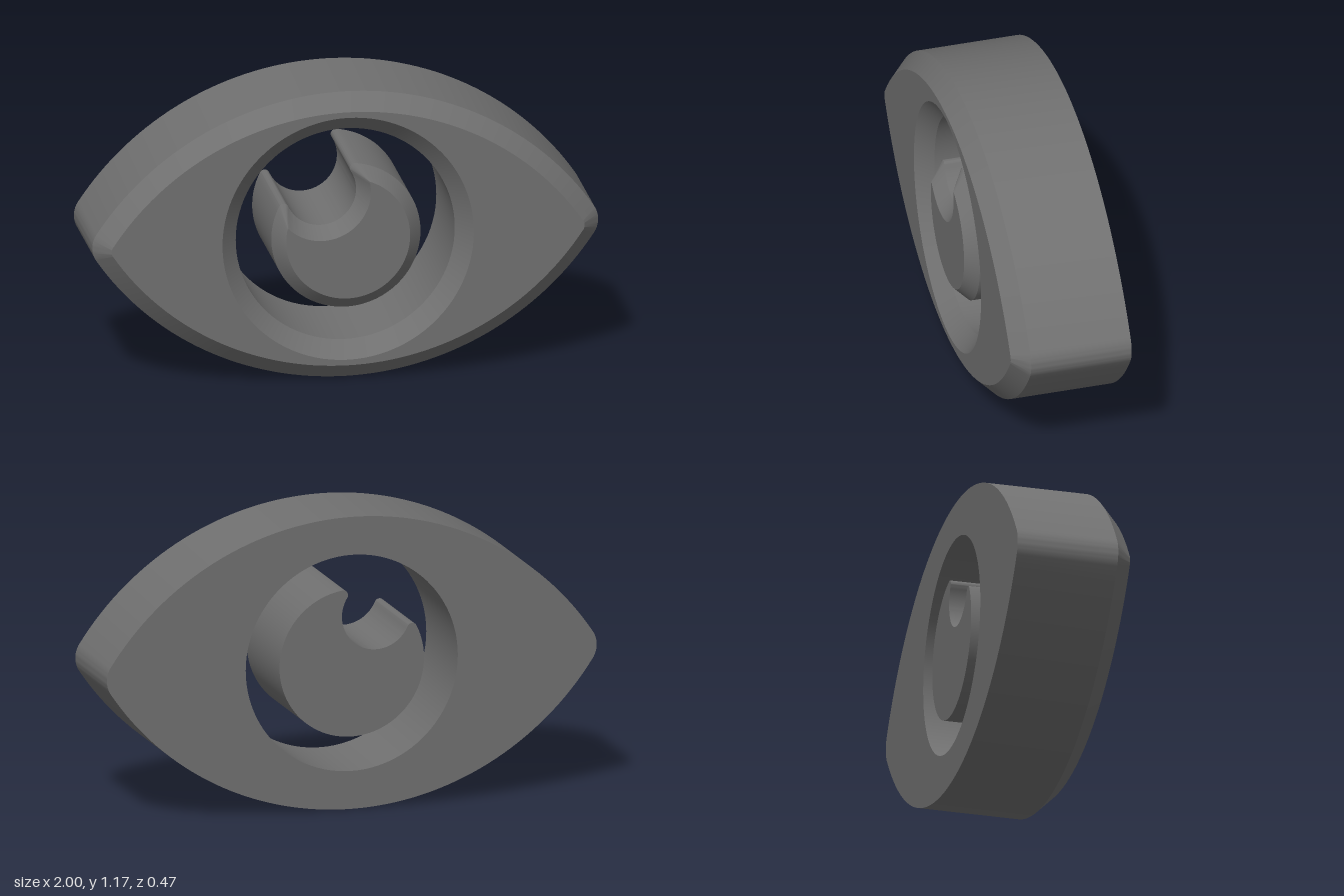
import * as THREE from 'three';
import { toCreasedNormals } from 'three/addons/utils/BufferGeometryUtils.js';

const DEPTH = 0.235; // half thickness
const MID_Y = 0.585;

// Points along an arc, end point left out so arcs can be chained
function arc(cx, cy, r, a0, a1, n) {
  return Array.from({ length: n }, (_, i) => {
    const a = a0 + ((a1 - a0) * i) / n;
    return new THREE.Vector2(cx + r * Math.cos(a), cy + r * Math.sin(a));
  });
}

// Almond outline with rounded corners, inset by e
function almond(e) {
  const tip = 0.1, R = 1.177, c = R - MID_Y, x = 1 - tip;
  const t = Math.atan2(c, x), P = Math.PI;
  return [
    ...arc(x, 0, tip - e, -t, t, 16),
    ...arc(0, -c, R - e, t, P - t, 64),
    ...arc(-x, 0, tip - e, P - t, P + t, 16),
    ...arc(0, c, R - e, P + t, 2 * P - t, 64),
  ];
}

// Disc with a round bite and two horns, inset by e, horn tips rounded by f
function bittenDisc(e, f) {
  const R = 0.295 - e, r = 0.14 + e;
  const bite = new THREE.Vector2(-0.1, 0.187), d = bite.length();
  const u = bite.clone().normalize();
  const a = (d * d + (R - f) ** 2 - (r + f) ** 2) / (2 * d);
  const h = Math.sqrt((R - f) ** 2 - a * a);
  const right = new THREE.Vector2(u.x * a + u.y * h, u.y * a - u.x * h);
  const left = new THREE.Vector2(u.x * a - u.y * h, u.y * a + u.x * h);
  const ang = (p, q) => Math.atan2(q.y - p.y, q.x - p.x);
  const O = new THREE.Vector2(), T = 2 * Math.PI;
  const aR = ang(O, right), aL = ang(O, left);
  return [
    ...arc(0, 0, R, aL, aR + T, 80),
    ...arc(right.x, right.y, f, aR, ang(right, bite) + T, 12),
    ...arc(bite.x, bite.y, r, ang(bite, right), ang(bite, left), 48),
    ...arc(left.x, left.y, f, ang(left, bite), aL, 12),
  ];
}

// Slab with a chamfered front; each wall is [full outline, inset outline]
function chamferedSlab(walls, bevel) {
  const pos = [];
  const put = (p, z) => pos.push(p.x, p.y, z);
  for (const [full, inset] of walls) {
    const levels = [[full, -DEPTH], [full, DEPTH - bevel], [inset, DEPTH]];
    for (let k = 0; k < 2; k++) {
      const [A, za] = levels[k], [B, zb] = levels[k + 1];
      for (let i = 0; i < A.length; i++) {
        const j = (i + 1) % A.length;
        put(A[i], za); put(A[j], za); put(B[j], zb);
        put(A[i], za); put(B[j], zb); put(B[i], zb);
      }
    }
  }
  // Front and back caps
  for (const side of [0, 1]) {
    const loops = walls.map((w) => w[side]);
    const all = loops.flat();
    const [outer, ...holes] = loops.map((l) => l.slice());
    for (const [a, b, c] of THREE.ShapeUtils.triangulateShape(outer, holes)) {
      const z = side ? DEPTH : -DEPTH;
      for (const i of side ? [a, b, c] : [a, c, b]) put(all[i], z);
    }
  }
  const g = new THREE.BufferGeometry();
  g.setAttribute('position', new THREE.Float32BufferAttribute(pos, 3));
  return toCreasedNormals(g, 0.5);
}

export function createModel() {
  const group = new THREE.Group();
  group.name = 'eye';
  const grey = new THREE.MeshStandardMaterial({ color: 0x707070 });
  grey.name = 'grey';

  const add = (name, geometry) => {
    const mesh = new THREE.Mesh(geometry, grey);
    mesh.name = name;
    mesh.position.y = MID_Y;
    group.add(mesh);
  };

  // Almond frame with a round opening flared at the front
  const opening = (r) => arc(0, 0, r, 2 * Math.PI, 0, 96);
  add('eyeFrame', chamferedSlab([
    [almond(0), almond(0.065)],
    [opening(0.433), opening(0.497)],
  ], 0.065));

  // Free-standing pupil with a round highlight cut out
  add('pupil', chamferedSlab([[bittenDisc(0, 0.02), bittenDisc(0.05, 0)]], 0.05));

  return group;
}
